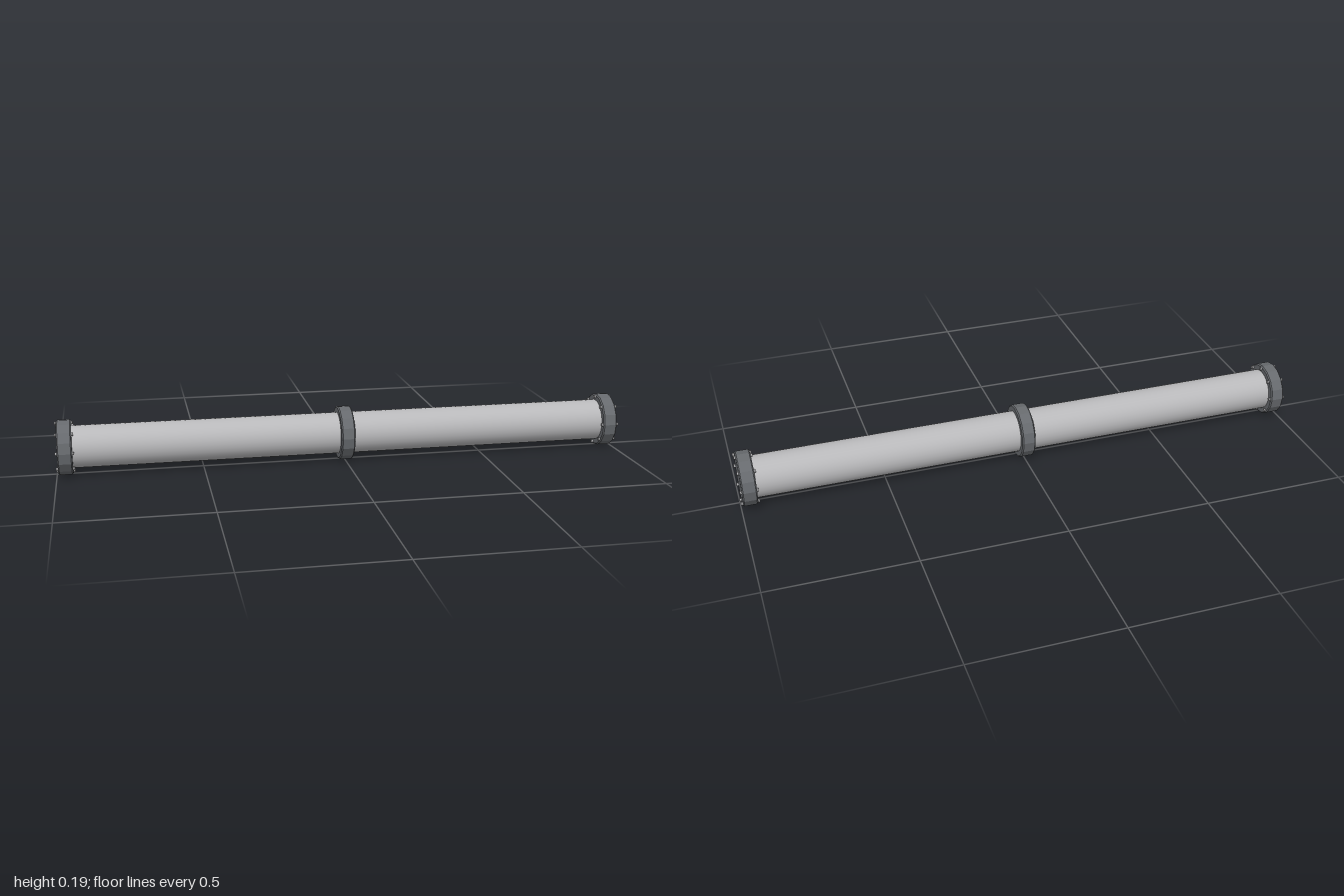
import * as THREE from 'three';

const R = 0.095; // flange radius, also the height of the pipe axis

export function createModel() {
  const model = new THREE.Group();
  const pipeGrey = new THREE.MeshStandardMaterial({ color: 0xb8b8ba });
  pipeGrey.name = 'pipe grey';
  const flangeGrey = new THREE.MeshStandardMaterial({ color: 0x676a6e, flatShading: true });
  flangeGrey.name = 'flange dark grey';
  const boltGrey = new THREE.MeshStandardMaterial({ color: 0xaaaaac });
  boltGrey.name = 'bolt grey';

  function add(parent, name, geometry, material, x, y = 0, z = 0) {
    const mesh = new THREE.Mesh(geometry, material);
    mesh.name = name;
    mesh.position.set(x, y, z);
    parent.add(mesh);
    return mesh;
  }

  // All round parts are turned to lie along x
  const alongX = (geometry) => geometry.rotateZ(-Math.PI / 2);

  // Sixteen-sided disc with chamfered rims
  function flange(halfWidth) {
    const c = 0.004;
    const profile = [
      [0, -halfWidth], [R - c, -halfWidth], [R, -halfWidth + c],
      [R, halfWidth - c], [R - c, halfWidth], [0, halfWidth],
    ].map(([r, h]) => new THREE.Vector2(r, h));
    return alongX(new THREE.LatheGeometry(profile, 16));
  }

  // Main pipe
  const pipe = alongX(new THREE.CylinderGeometry(0.073, 0.073, 1.94, 32));
  add(model, 'pipe', pipe, pipeGrey, 0, R);

  // Middle coupling
  add(model, 'middleCollar', flange(0.024), flangeGrey, 0, R);

  // End caps, each with a circle of through bolts
  const capGeometry = flange(0.025);
  const boltGeometry = alongX(new THREE.CylinderGeometry(0.006, 0.006, 0.062, 8));
  for (const side of [-1, 1]) {
    const end = new THREE.Group();
    end.name = side > 0 ? 'leftEnd' : 'rightEnd';
    end.position.set(side * 0.969, R, 0);
    add(end, 'endCap', capGeometry, flangeGrey, 0);
    for (let i = 0; i < 8; i++) {
      const a = (i * Math.PI) / 4;
      add(end, 'bolt', boltGeometry, boltGrey, 0, 0.085 * Math.cos(a), 0.085 * Math.sin(a));
    }
    model.add(end);
  }
  return model;
}
